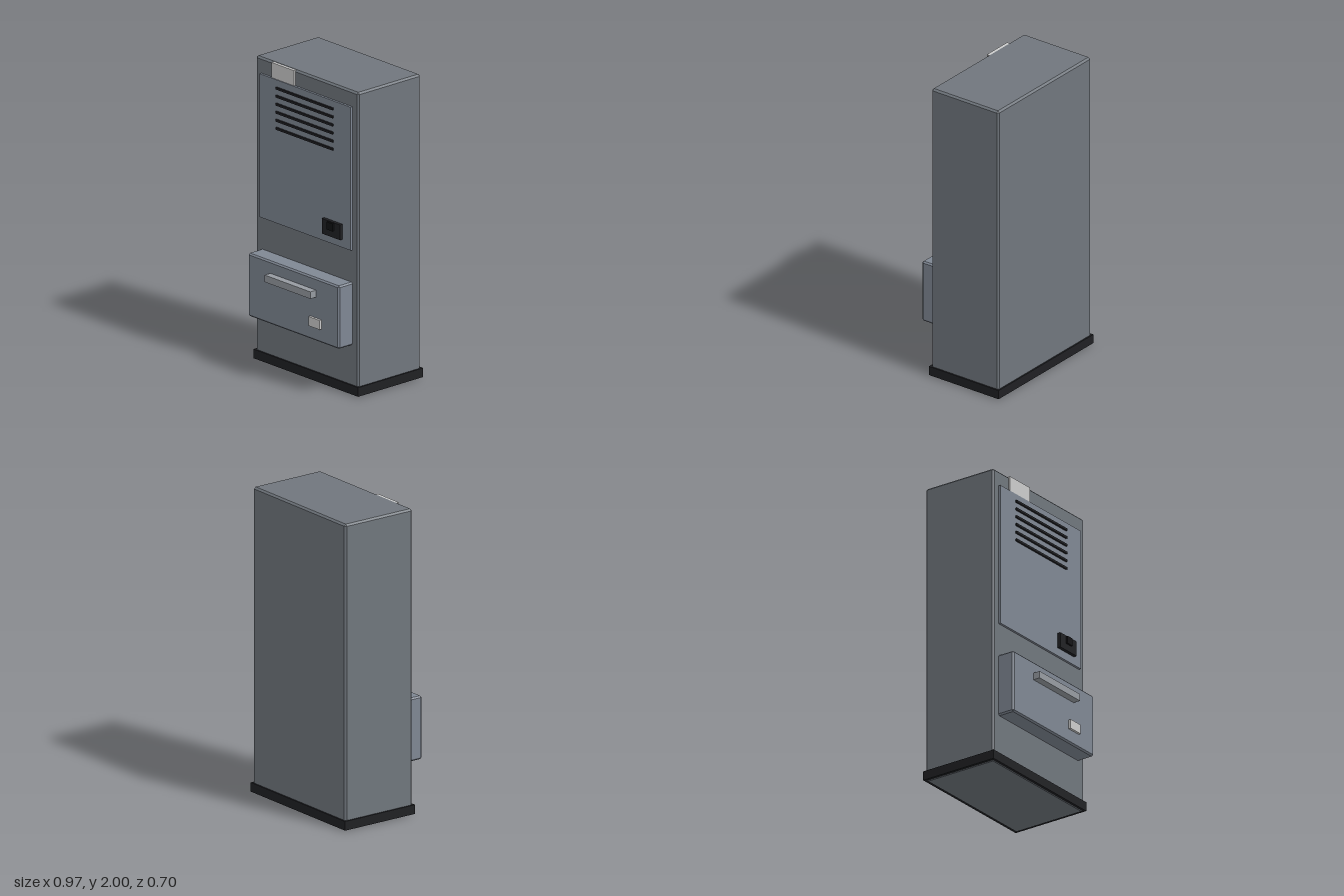
import * as THREE from 'three';
import { ConvexGeometry } from 'three/addons/geometries/ConvexGeometry.js';

const material = (color) => new THREE.MeshStandardMaterial({ color });

// Box with chamfered edges and corners, centred on its origin
function chamferedBox(w, h, d, c) {
  const points = [];
  for (const sx of [-1, 1]) for (const sy of [-1, 1]) for (const sz of [-1, 1]) {
    const x = w / 2, y = h / 2, z = d / 2;
    points.push(
      new THREE.Vector3(sx * x, sy * (y - c), sz * (z - c)),
      new THREE.Vector3(sx * (x - c), sy * y, sz * (z - c)),
      new THREE.Vector3(sx * (x - c), sy * (y - c), sz * z));
  }
  return new ConvexGeometry(points);
}

export function createModel() {
  const group = new THREE.Group();
  const steel = material(0x70767d);
  const panel = material(0x7f8793);
  const black = material(0x1f2023);
  const darkest = material(0x111214);
  const metal = material(0x969ba1);
  const pale = material(0xc4c6c8);

  // Adds a box given by its limits along x, y and z
  function box(name, mat, [x0, x1], [y0, y1], [z0, z1], chamfer = 0) {
    const w = x1 - x0, h = y1 - y0, d = z1 - z0;
    const geometry = chamfer ? chamferedBox(w, h, d, chamfer) : new THREE.BoxGeometry(w, h, d);
    const mesh = new THREE.Mesh(geometry, mat);
    mesh.name = name;
    mesh.position.set((x0 + x1) / 2, (y0 + y1) / 2, (z0 + z1) / 2);
    group.add(mesh);
  }

  // Cabinet and plinth
  box('cabinet', steel, [-0.473, 0.473], [0, 2], [-0.34, 0.185], 0.012);
  box('plinth', black, [-0.483, 0.483], [0.005, 0.065], [-0.35, 0.195]);

  // Upper door with its label and vent slots
  box('door', panel, [-0.42, 0.42], [0.953, 1.897], [0.17, 0.2]);
  box('label', pale, [-0.315, -0.108], [1.898, 1.998], [0.175, 0.196]);
  for (let i = 0; i < 6; i++) {
    const y = 1.58 + i * 0.053;
    box('ventSlot', black, [-0.263, 0.263], [y - 0.007, y + 0.007], [0.195, 0.212]);
  }

  // Lock
  box('lockPlate', black, [0.177, 0.345], [1.007, 1.107], [0.195, 0.222]);
  box('lockKnob', darkest, [0.235, 0.288], [1.052, 1.102], [0.215, 0.234]);

  // Lower drawer with handle and tag
  box('drawer', panel, [-0.42, 0.42], [0.325, 0.74], [0.17, 0.3], 0.01);
  box('drawerHandle', metal, [-0.211, 0.211], [0.615, 0.661], [0.29, 0.348]);
  box('drawerTag', pale, [0.157, 0.261], [0.417, 0.478], [0.29, 0.316]);

  return group;
}
